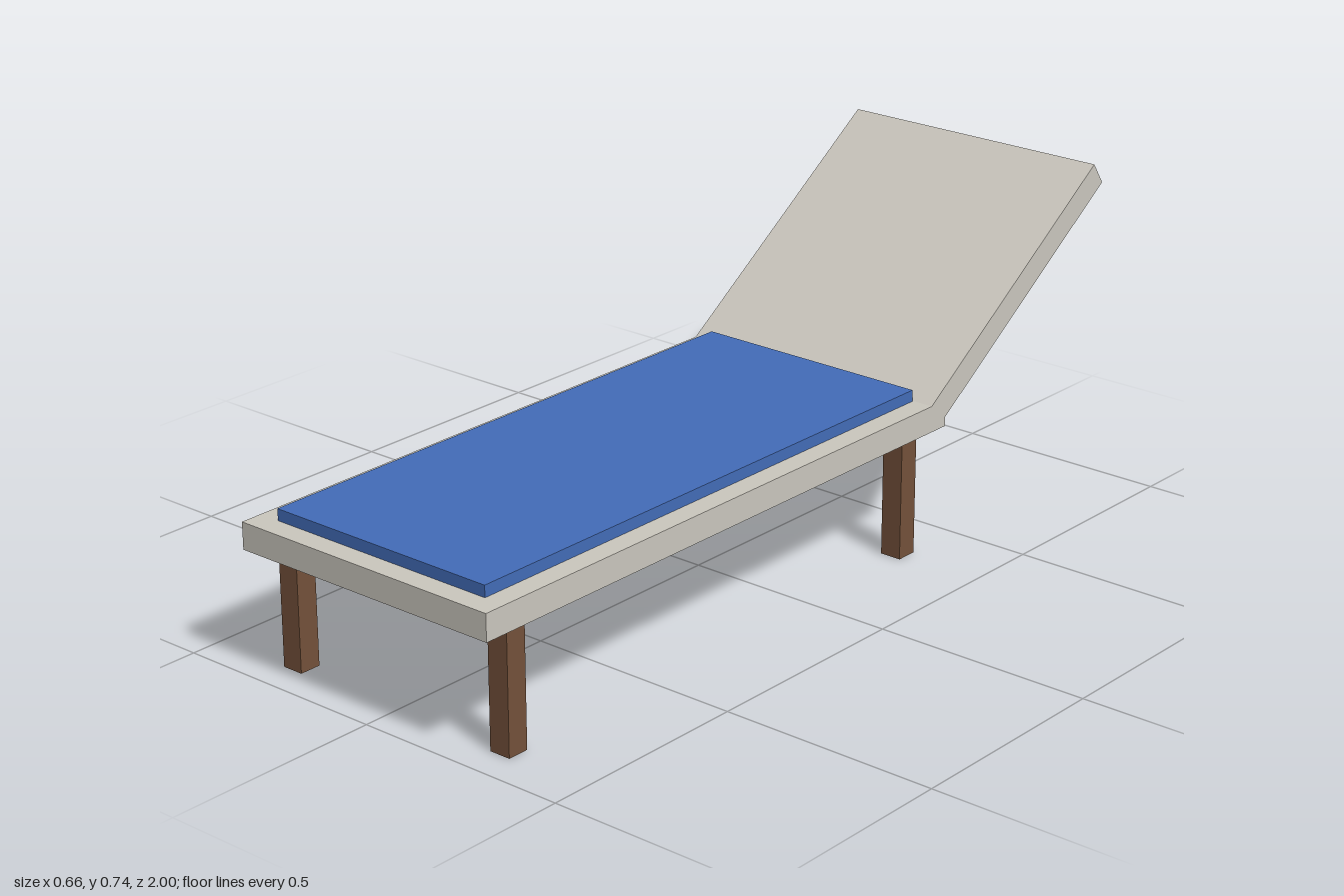
import * as THREE from 'three';

const mat = (name, color) => {
  const m = new THREE.MeshStandardMaterial({ color });
  m.name = name;
  return m;
};

export function createModel() {
  const group = new THREE.Group();
  group.name = 'sunLounger';
  const frame = mat('warm grey', 0xcbc7be);
  const fabric = mat('blue fabric', 0x436cb8);
  const wood = mat('brown wood', 0x74513a);

  // box given by its size and centre
  const box = (name, material, size, pos) => {
    const m = new THREE.Mesh(new THREE.BoxGeometry(...size), material);
    m.name = name;
    m.position.set(...pos);
    group.add(m);
    return m;
  };

  // flat bed and cushion
  box('bed', frame, [0.664, 0.06, 1.43], [0, 0.308, 0.285]);
  box('cushion', fabric, [0.564, 0.026, 1.328], [0, 0.351, 0.286]);

  // raised backrest, its lower end sunk into the bed
  const angle = THREE.MathUtils.degToRad(34.5);
  const length = 0.72, thick = 0.06;
  const s = Math.sin(angle), c = Math.cos(angle);
  const back = box('backrest', frame, [0.664, thick, length], [
    0,
    0.74 - (length / 2) * s - (thick / 2) * c,
    -1 + (length / 2) * c + (thick / 2) * s,
  ]);
  back.rotation.x = angle;

  // four square legs
  for (const [end, z] of [['front', 0.9], ['back', -0.33]]) {
    for (const [side, x] of [['Left', 0.287], ['Right', -0.287]]) {
      box(`${end}${side}Leg`, wood, [0.05, 0.278, 0.05], [x, 0.139, z]);
    }
  }
  return group;
}
